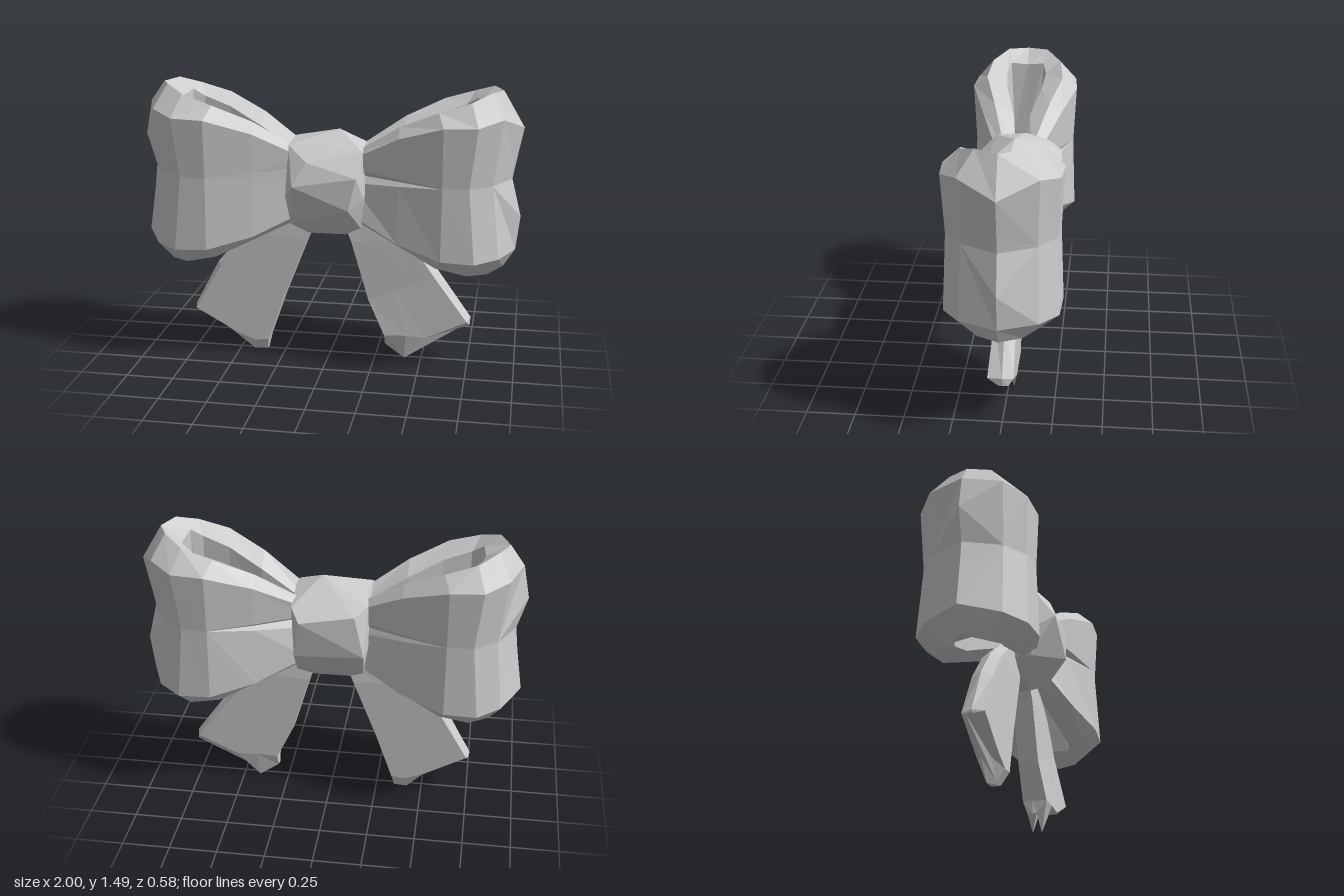
import * as THREE from 'three';
import { ConvexGeometry } from 'three/addons/geometries/ConvexGeometry.js';

const ribbon = new THREE.MeshStandardMaterial({ color: 0xcccccc, flatShading: true });
ribbon.name = 'ribbonGrey';

// Skins a row of closed rings (even point count), caps both ends and faces outward.
function loft(rings) {
  const n = rings[0].length, tris = [];
  const quad = (a, b, c, d) => tris.push([a, b, c], [a, c, d]);
  for (let i = 0; i < rings.length - 1; i++) {
    const p = rings[i], q = rings[i + 1];
    for (let j = 0; j < n; j++) {
      const k = (j + 1) % n;
      quad(p[j], p[k], q[k], q[j]);
    }
  }
  const s = rings[0], e = rings[rings.length - 1];
  for (let j = 0; j < n / 2 - 1; j++) {
    quad(s[n - 1 - j], s[n - 2 - j], s[j + 1], s[j]);
    quad(e[j], e[j + 1], e[n - 2 - j], e[n - 1 - j]);
  }
  // signed volume tells whether the winding must be reversed
  const V = (p) => new THREE.Vector3(...p);
  let volume = 0;
  for (const [a, b, c] of tris) volume += V(a).dot(V(b).cross(V(c)));
  const pos = tris.flatMap((t) => (volume < 0 ? [t[0], t[2], t[1]] : t)).flat();
  const g = new THREE.BufferGeometry();
  g.setAttribute('position', new THREE.Float32BufferAttribute(pos, 3));
  g.computeVertexNormals();
  return g;
}

function addPart(group, name, geometry) {
  const m = new THREE.Mesh(geometry, ribbon);
  m.name = name;
  group.add(m);
}

// Stations from the knot towards the loop tip:
// outer x, z, top, bottom | crest x, z, top, bottom | inner x, z
const stations = [
  [0.12, 0.11, 1.12, 0.83, 0.12, 0.07, 1.14, 0.80, 0.12, 0.01],
  [0.38, 0.215, 1.26, 0.71, 0.38, 0.15, 1.31, 0.68, 0.38, 0.045],
  [0.61, 0.29, 1.335, 0.65, 0.58, 0.21, 1.40, 0.59, 0.56, 0.095],
  [0.78, 0.28, 1.34, 0.64, 0.74, 0.19, 1.45, 0.55, 0.70, 0.11],
  [0.90, 0.19, 1.37, 0.65, 0.84, 0.11, 1.49, 0.54, 0.76, 0.09],
];

// Hollow teardrop loop. Crease depths pinch the band next to the knot;
// tip lists x, y of the outer edge at the far end from top to bottom.
function loopGeometry(side, frontCrease, backCrease, tip) {
  const ring = ([x, z, top, bot, cx, cz, cTop, cBot, ix, iz], i, zs) => {
    const near = Math.max(0, 1 - i / 2);
    const crease = (zs > 0 ? frontCrease : backCrease) * near;
    const mx = i > 2 ? x * 0.955 : x, mz = z * 0.95;
    const gap = 0.004 + 0.036 * near;
    const P = (px, py, pz) => [px * side, py, pz * zs];
    return [
      P(cx, cTop, cz), P(x, top, z),
      P(mx, 1.03 + gap, mz), P(mx, 1.03, mz - crease), P(mx, 1.03 - gap, mz - crease * 0.5),
      P(x, bot, z), P(cx, cBot, cz),
      P(ix, cBot + 0.06, iz), P(ix, 1.03, iz * 0.8), P(ix, cTop - 0.06, iz),
    ];
  };
  const outline = [[0.89, 1.485], ...tip, [0.92, 0.555], [0.77, 0.61], [0.755, 1.03], [0.77, 1.42]];
  return loft([
    ...stations.map((s, i) => ring(s, i, 1)),
    outline.map(([x, y]) => [x * side, y, 0]),
    ...stations.map((s, i) => ring(s, i, -1)).reverse(),
  ]);
}

// Hanging strip with a ridged outer edge; each row is four points across
// plus front and back depth, and how far the edge bevel reaches in.
function tailGeometry(side, innerX, outerX, endRows) {
  const rows = [
    [[[0.06, 0.80], [0.10, 0.82], [0.14, 0.86], [0.17, 0.90]], 0.04, -0.04, 0.02],
    [[[0.12, 0.66], [0.24, 0.67], [0.36, 0.68], [0.47, 0.67]], 0.05, -0.055, 0.025],
    [[[innerX, 0.34], [0.36, 0.40], [0.48, 0.45], [outerX, 0.50]], 0.055, -0.055, 0.025],
    ...endRows,
  ];
  return loft(rows.map(([pts, zf, zb, bevel]) => {
    const inset = pts.map(([x, y], i) => (i === 3 ? [x - bevel, y - bevel * 0.5] : [x, y]));
    const [ix, iy] = pts[0], [ox, oy] = pts[3];
    return [
      [ix - 0.005, iy, 0], ...inset.map(([x, y]) => [x, y, zf]),
      [ox, oy, 0], ...inset.map(([x, y]) => [x, y, zb]).reverse(),
    ].map(([x, y, z]) => [x * side, y, z]);
  }));
}

const leftTailEnd = [
  [[[0.305, 0.15], [0.42, 0.155], [0.53, 0.15], [0.76, 0.26]], 0.075, -0.055, 0.015],
  [[[0.305, 0.08], [0.41, 0.005], [0.53, 0.14], [0.76, 0.22]], 0.02, -0.03, 0.005],
];
const rightTailEnd = [
  [[[0.335, 0.08], [0.41, 0.07], [0.51, 0.11], [0.755, 0.245]], 0.06, -0.055, 0.015],
  [[[0.35, 0.01], [0.42, 0.005], [0.51, 0.10], [0.755, 0.23]], 0.02, -0.03, 0.005],
];

// Faceted knot corners
const knot = [
  [0.05, 1.26, 0], [-0.19, 1.21, -0.04], [0.19, 1.2, 0.02],
  [-0.09, 1.12, 0.21], [0.17, 1.05, 0.235], [-0.16, 1.0, 0.255], [0.13, 0.88, 0.24],
  [-0.2, 1.19, 0.12], [0.19, 1.17, 0.14], [-0.21, 0.93, 0.17], [0.2, 0.93, 0.17],
  [-0.19, 0.77, 0.13], [0.18, 0.76, 0.12], [-0.11, 0.7, 0.05], [0.09, 0.7, 0.05],
  [-0.14, 1.14, -0.23], [0.14, 1.1, -0.255], [-0.19, 0.92, -0.24], [0.17, 0.9, -0.23],
  [-0.2, 1.17, -0.16], [0.19, 1.15, -0.17], [-0.18, 0.77, -0.13], [0.17, 0.77, -0.13],
  [-0.1, 0.7, -0.05], [0.09, 0.7, -0.05], [-0.22, 0.93, 0.02], [0.2, 0.96, 0],
];

export function createModel() {
  const bow = new THREE.Group();
  bow.name = 'bow';
  addPart(bow, 'leftLoop', loopGeometry(1, 0.07, 0.07,
    [[1, 1.3], [0.96, 1.09], [0.95, 1.03], [1, 0.83], [0.98, 0.65]]));
  addPart(bow, 'rightLoop', loopGeometry(-1, 0, 0.03,
    [[0.965, 1.38], [1, 1.2], [0.95, 1.03], [0.965, 0.9], [1, 0.67]]));
  addPart(bow, 'leftTail', tailGeometry(1, 0.215, 0.59, leftTailEnd));
  addPart(bow, 'rightTail', tailGeometry(-1, 0.245, 0.62, rightTailEnd));
  addPart(bow, 'knot', new ConvexGeometry(knot.map((p) => new THREE.Vector3(...p))));
  return bow;
}
